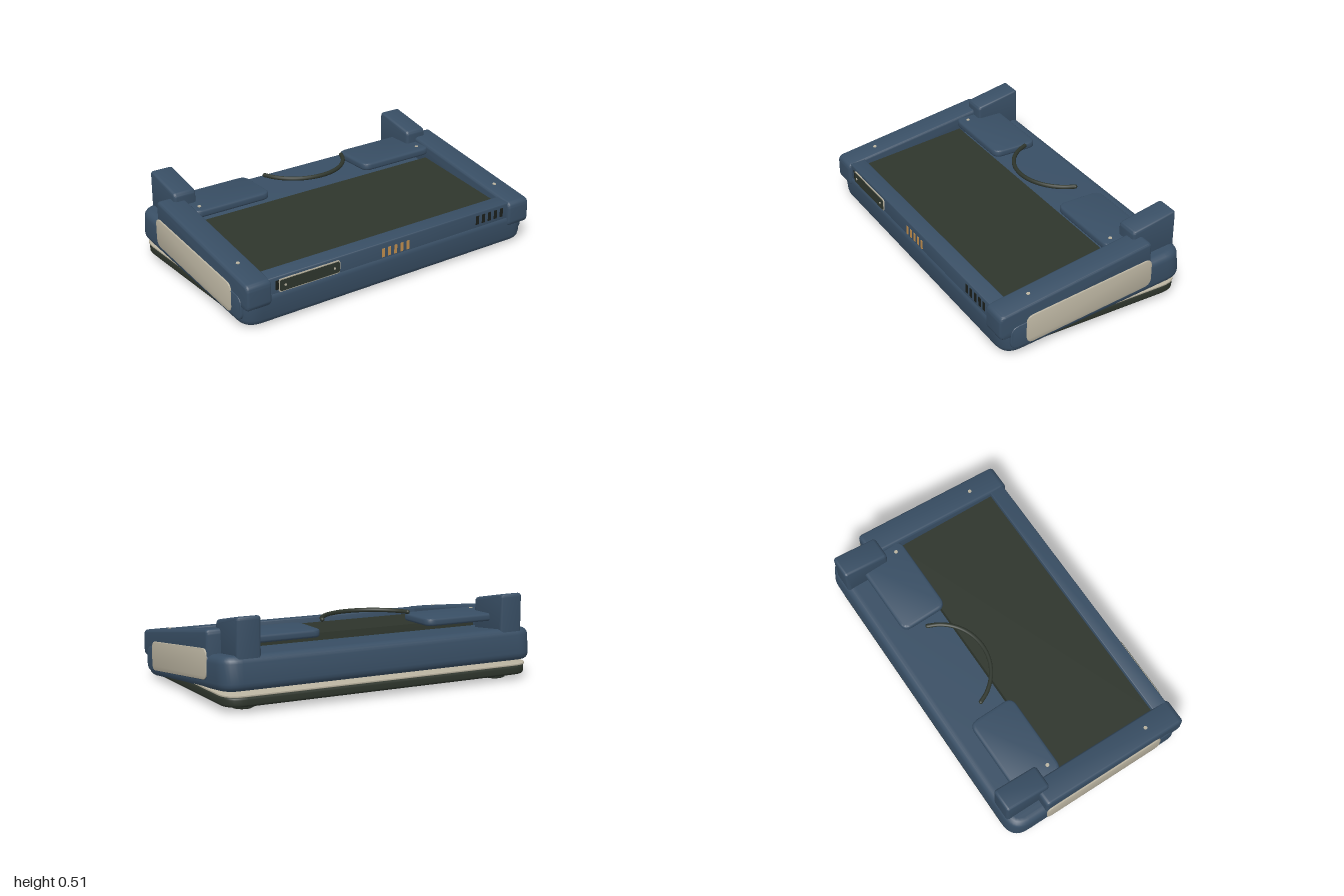
import * as THREE from 'three';
import { toCreasedNormals } from 'three/addons/utils/BufferGeometryUtils.js';

const material = (name, color) => {
  const m = new THREE.MeshStandardMaterial({ color });
  m.name = name;
  return m;
};

// Closed outline through the points, with every corner rounded by r
function roundedShape(points, r) {
  const shape = new THREE.Shape();
  const p = points.map(([x, y]) => new THREE.Vector2(x, y));
  p.forEach((c, i) => {
    const prev = p[(i + p.length - 1) % p.length], next = p[(i + 1) % p.length];
    const toward = q => c.clone().add(q.clone().sub(c).setLength(Math.min(r, q.distanceTo(c) * 0.45)));
    const a = toward(prev), b = toward(next);
    if (i === 0) shape.moveTo(a.x, a.y);
    else shape.lineTo(a.x, a.y);
    shape.quadraticCurveTo(c.x, c.y, b.x, b.y);
  });
  shape.closePath();
  return shape;
}

const rect = (w, h) => [[-w / 2, -h / 2], [w / 2, -h / 2], [w / 2, h / 2], [-w / 2, h / 2]];

// Extrusion of total depth d whose bevel stays inside the outline
function extrude(shape, d, bevel) {
  const g = new THREE.ExtrudeGeometry(shape, {
    depth: d - 2 * bevel, curveSegments: 8, bevelEnabled: bevel > 0,
    bevelThickness: bevel, bevelSize: bevel, bevelOffset: -bevel, bevelSegments: 4,
  });
  g.translate(0, 0, bevel);
  return toCreasedNormals(g, 0.6);
}

// Horizontal rounded slab, centred on its own middle
const slab = (w, h, d, r, bevel) =>
  extrude(roundedShape(rect(w, d), r), h, bevel).translate(0, 0, -h / 2).rotateX(-Math.PI / 2);

// Side profile given as (z, y) points, extruded from x0 to x1
const sideProfile = (points, r, x0, x1, bevel) =>
  extrude(roundedShape(points, r), x1 - x0, bevel).rotateY(-Math.PI / 2).translate(x1, 0, 0);

export function createModel() {
  const model = new THREE.Group();
  const blue = material('slate blue shell', 0x384e64);
  const dark = material('dark olive', 0x2e352c);
  const cream = material('cream trim', 0xb9b29f);
  const gold = material('gold contacts', 0xc08d4c);
  const black = material('black slots', 0x1b1f1b);

  const add = (name, geometry, mat, x = 0, y = 0, z = 0) => {
    const mesh = new THREE.Mesh(geometry, mat);
    mesh.name = name;
    mesh.position.set(x, y, z);
    model.add(mesh);
    return mesh;
  };
  const tilt = 0.097;

  // Tilted main shell, recessed deck and front rim
  add('mainShell', slab(1.984, 0.19, 1.18, 0.11, 0.042), blue, 0, 0.162, -0.005).rotation.x = tilt;
  add('deck', new THREE.BoxGeometry(1.68, 0.08, 0.68), dark, 0, 0.245, 0.148).rotation.x = tilt;
  add('frontRim', sideProfile([[0.58, 0.08], [0.58, 0.28], [0.485, 0.288], [0.485, 0.08]],
    0.008, -0.86, 0.86, 0.004), blue);

  // Level base tray with its trim line and feet
  add('baseTray', slab(1.95, 0.055, 1.08, 0.12, 0.015), dark, 0, 0.063, -0.045);
  add('baseTrim', slab(1.96, 0.011, 1.08, 0.12, 0.003), cream, 0, 0.096, -0.047);
  const footProfile = [[0, 0], [0.055, 0], [0.066, 0.006], [0.068, 0.014], [0.068, 0.04], [0, 0.04]]
    .map(([x, y]) => new THREE.Vector2(x, y));
  const foot = toCreasedNormals(new THREE.LatheGeometry(footProfile, 32), 0.6);
  for (const x of [-0.82, 0.82]) for (const z of [0.425, -0.435]) add('foot', foot, dark, x, 0.003, z);

  const screw = new THREE.CylinderGeometry(0.011, 0.011, 0.006, 16);
  for (const s of [-1, 1]) {
    const span = (a, b) => (s > 0 ? [a, b] : [-b, -a]);

    // Tapered side rail over a flush cheek
    add('sideRail', sideProfile([[0.6, 0.13], [0.6, 0.279], [-0.365, 0.43], [-0.365, 0.2], [0.5, 0.13]],
      0.035, ...span(0.835, 0.991), 0.018), blue);
    add('sideCheek', sideProfile([[0.535, 0.05], [0.535, 0.19], [-0.365, 0.3], [-0.365, 0.15]],
      0.05, ...span(0.9, 0.995), 0.006), blue);
    add('sidePanel', sideProfile([[0.44, 0.064], [0.44, 0.235], [-0.363, 0.326], [-0.363, 0.155]],
      0.045, ...span(0.991, 1.0), 0.002), cream);
    add('railScrew', screw, cream, s * 0.91, 0.314, 0.38).rotation.x = 0.155;

    // Rear upright block
    add('rearBlock', sideProfile([[-0.293, 0.25], [-0.293, 0.465], [-0.577, 0.522], [-0.577, 0.25]],
      0.025, ...span(0.768, 0.91), 0.018), blue);

    // Raised ear plate
    add('earPlate', slab(0.51, 0.045, 0.29, 0.055, 0.014), blue, s * 0.597, 0.367, -0.31);
    add('earScrew', screw, cream, s * 0.79, 0.39, -0.225);

    // Vent slots on the front rim
    for (let i = 0; i < 5; i++) {
      add('ventSlot', new THREE.BoxGeometry(0.022, 0.054, 0.006), black, s * (0.605 + i * 0.0465), 0.231, 0.58);
    }
  }

  // Curved carrying handle
  const arc = new THREE.CatmullRomCurve3(Array.from({ length: 13 }, (_, i) => {
    const a = (i / 6 - 1) * 1.23;
    return new THREE.Vector3(Math.sin(a) * 0.296, 0.42, -0.431 + Math.cos(a) * 0.296);
  }));
  add('handle', new THREE.TubeGeometry(arc, 40, 0.0125, 10), dark);
  for (const t of [0, 1]) {
    const p = arc.getPoint(t);
    add('handleEnd', new THREE.SphereGeometry(0.0125, 12, 8), dark, p.x, p.y, p.z);
  }

  // Front access plate with trim and screws
  const plate = (w, h, r) => extrude(roundedShape(rect(w, h), r), 0.006, 0);
  add('accessTrim', plate(0.398, 0.076, 0.014), cream, -0.585, 0.225, 0.58);
  add('accessPlate', plate(0.386, 0.064, 0.01), dark, -0.585, 0.225, 0.584);
  for (const x of [-0.745, -0.425]) {
    add('accessScrew', new THREE.CylinderGeometry(0.007, 0.007, 0.006, 12), cream, x, 0.225, 0.59)
      .rotation.x = Math.PI / 2;
  }

  // Gold contacts
  for (let i = -2; i <= 2; i++) {
    add('contact', new THREE.BoxGeometry(0.018, 0.052, 0.008), gold, i * 0.0435, 0.219, 0.58);
  }
  return model;
}
